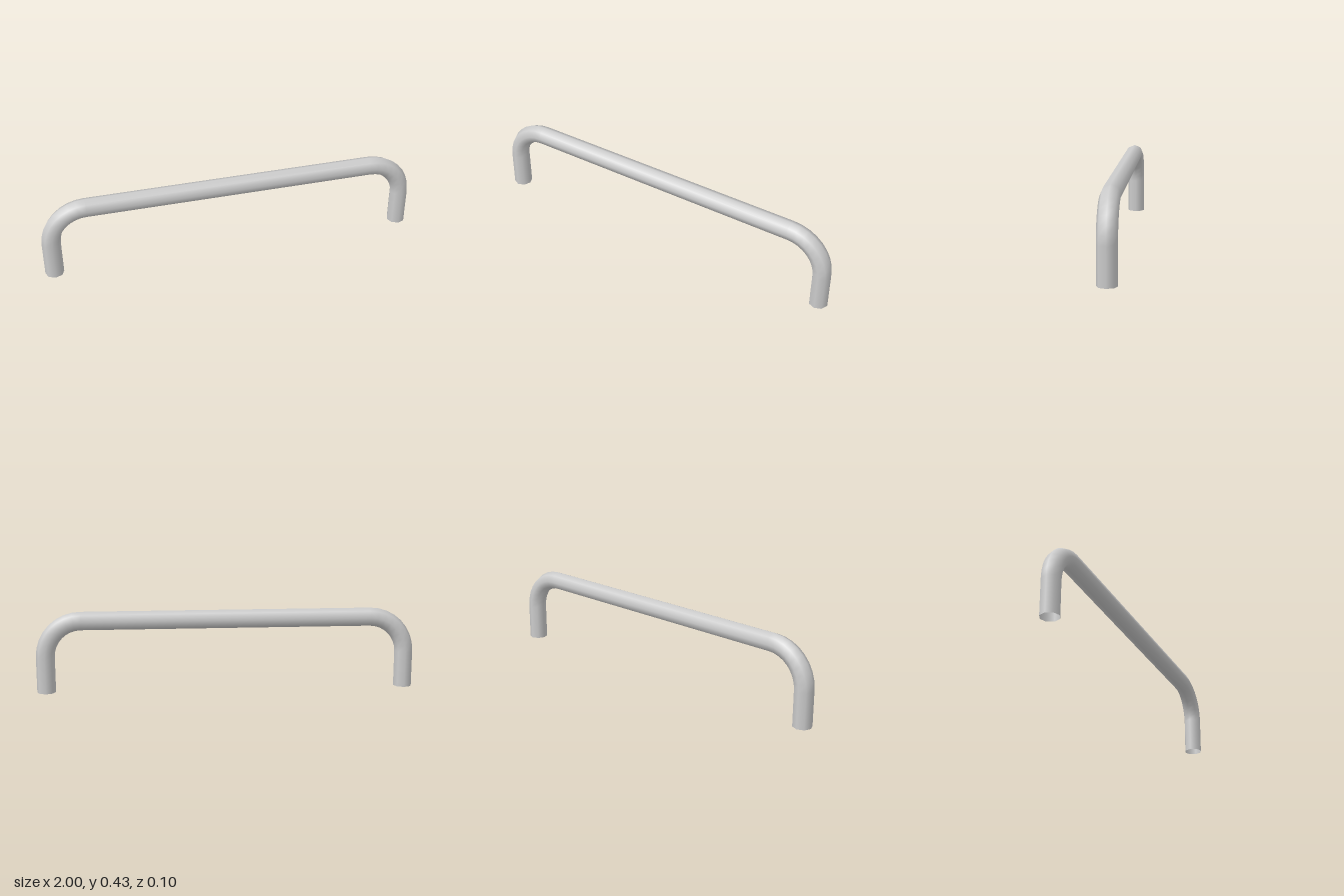
import * as THREE from 'three';

const R = 0.049;        // tube radius
const BEND = 0.189;     // bend radius along the tube's centre line
const CX = 0.762, CY = 0.189; // bend centre
const STEPS = 8;        // segments per bend

// Rings along the tube: centre (x, y) and outward direction (dx, dy)
function makeRings() {
  const half = [{ x: -CX - BEND, y: 0, dx: -1, dy: 0 }];
  for (let i = 0; i <= STEPS; i++) {
    const a = (i / STEPS) * Math.PI / 2;
    const dx = -Math.cos(a), dy = Math.sin(a);
    half.push({ x: -CX + BEND * dx, y: CY + BEND * dy, dx, dy });
  }
  const mirrored = half.map((r) => ({ ...r, x: -r.x, dx: -r.dx })).reverse();
  return [...half, ...mirrored];
}

// Open eight-sided cylinder, swept along the rings
function bentTube() {
  const rings = makeRings();
  const sides = 8;
  const geo = new THREE.CylinderGeometry(1, 1, 1, sides, rings.length - 1, true);
  const pos = geo.attributes.position, nor = geo.attributes.normal;
  for (let i = 0; i < pos.count; i++) {
    const r = rings[Math.floor(i / (sides + 1))];
    const u = pos.getX(i), w = pos.getZ(i);
    pos.setXYZ(i, r.x + r.dx * u * R, r.y + r.dy * u * R, w * R);
    nor.setXYZ(i, r.dx * u, r.dy * u, w);
  }
  return geo;
}

export function createModel() {
  const group = new THREE.Group();
  group.name = 'barHandle';
  const material = new THREE.MeshStandardMaterial({ color: 0xcccccc, side: THREE.DoubleSide });

  // Grip bar with both bends and legs in one tube, open at the feet
  const tube = new THREE.Mesh(bentTube(), material);
  tube.name = 'handleTube';
  group.add(tube);
  return group;
}
